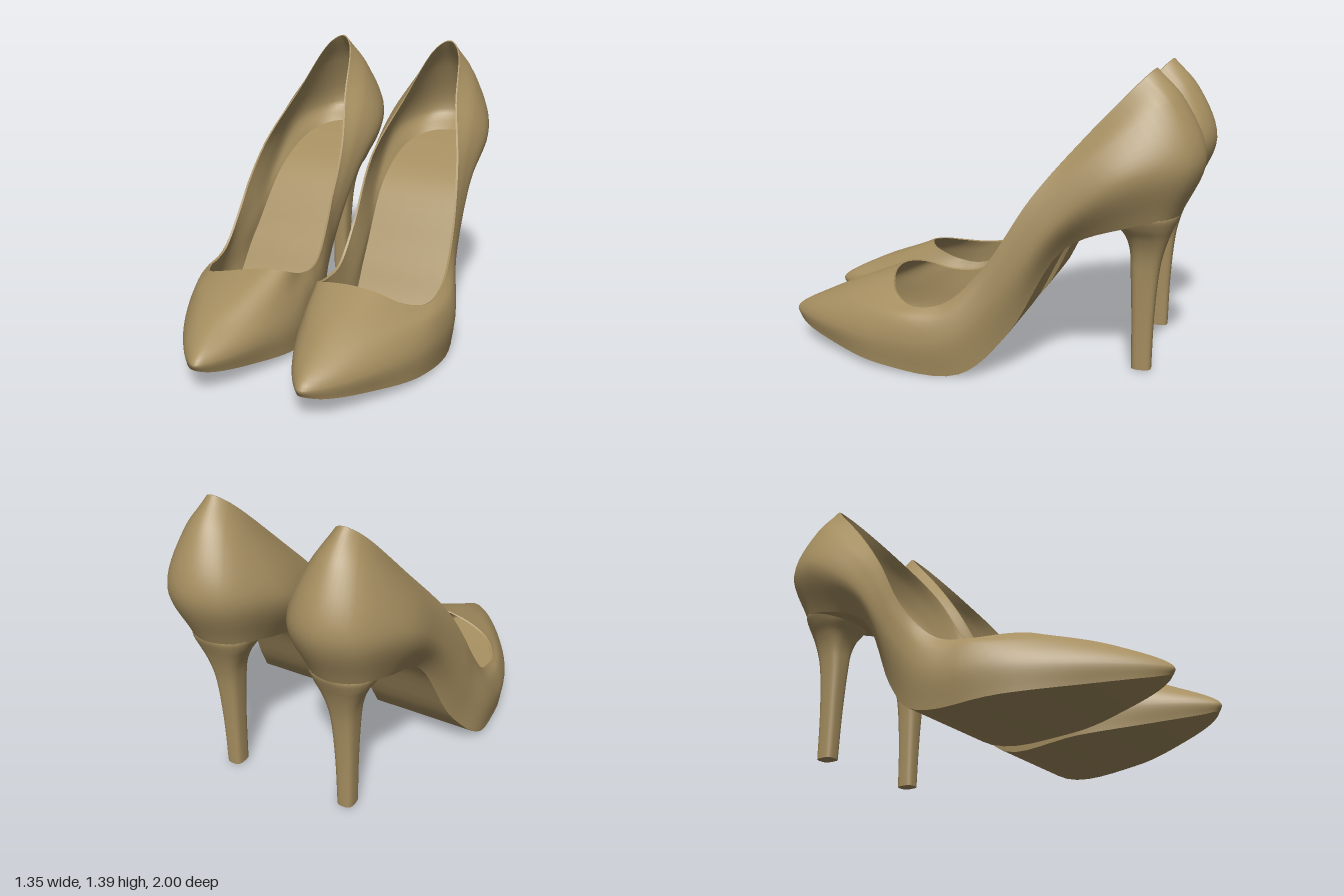
import * as THREE from 'three';

const leather = new THREE.MeshStandardMaterial({ color: 0xa58e60, side: THREE.DoubleSide });
leather.name = 'tan leather';

const COLS = 108; // samples around each closed loop

// Loops around the shoe: back point, stations [z, y, xInner, xOuter, yOuter], front point
const RIM_BACK = [[-0.775, 1.388, 0.29, 0.29],
  [-0.735, 1.35, 0.228, 0.352], [-0.5, 1.1, 0.14, 0.435], [-0.28, 0.835, 0.055, 0.53],
  [-0.08, 0.52, 0.045, 0.585], [0.1, 0.35, 0.05, 0.605, 0.34]];
const RIM_LEFT = [...RIM_BACK, [0.26, 0.33, 0.05, 0.59, 0.302],
  [0.38, 0.365, 0.08, 0.51, 0.335], [0.43, 0.395, 0.18, 0.41, 0.385], [0.445, 0.405, 0.3, 0.3]];
const RIM_RIGHT = [...RIM_BACK, [0.26, 0.345, 0.065, 0.61, 0.302],
  [0.4, 0.395, 0.1, 0.54, 0.325], [0.445, 0.412, 0.18, 0.43, 0.36], [0.45, 0.392, 0.3, 0.3]];
const UPPER = [[-0.9, 1.25, 0.285, 0.285],
  [-0.84, 1.24, 0.18, 0.395], [-0.6, 1.06, 0.065, 0.505], [-0.34, 0.79, 0.025, 0.55],
  [-0.11, 0.46, 0.042, 0.59], [0.1, 0.27, 0.035, 0.645], [0.34, 0.26, 0.035, 0.63],
  [0.58, 0.265, 0.115, 0.53], [0.75, 0.262, 0.24, 0.41], [0.78, 0.27, 0.315, 0.315]];
const BULGE = [[-1, 1, 0.28, 0.28],
  [-0.94, 0.99, 0.125, 0.435], [-0.7, 0.93, 0.012, 0.55], [-0.4, 0.71, 0.018, 0.555],
  [-0.15, 0.38, 0.048, 0.58], [0.08, 0.17, 0.035, 0.66], [0.4, 0.15, 0.025, 0.65],
  [0.72, 0.145, 0.135, 0.53], [0.95, 0.145, 0.265, 0.385], [1, 0.145, 0.32, 0.32]];
const SOLE = [[-0.9, 0.745, 0.28, 0.28],
  [-0.85, 0.74, 0.16, 0.4], [-0.7, 0.71, 0.105, 0.455], [-0.41, 0.59, 0.11, 0.46],
  [-0.17, 0.19, 0.09, 0.53], [0.03, 0.014, 0.05, 0.63], [0.42, 0.022, 0.035, 0.635],
  [0.72, 0.055, 0.15, 0.515], [0.93, 0.09, 0.265, 0.39], [0.985, 0.11, 0.32, 0.32]];
const FOOTBED = [[-0.86, 0.88, 0.28, 0.28],
  [-0.82, 0.87, 0.17, 0.39], [-0.68, 0.82, 0.09, 0.47], [-0.41, 0.67, 0.07, 0.5],
  [-0.17, 0.33, 0.075, 0.545], [0.02, 0.08, 0.08, 0.59], [0.4, 0.07, 0.07, 0.6],
  [0.66, 0.095, 0.165, 0.495], [0.85, 0.13, 0.265, 0.38], [0.89, 0.145, 0.32, 0.32]];

// Move a loop inward: narrow x, scale z, change y
const inset = (rows, nx, zScale, lift) => rows.map(([z, y, xi, xo, yo = y]) => {
  const d = (xo - xi) * nx;
  return [z * zScale, y + lift, xi + d, xo - d, yo + lift];
});

// Smooth closed loop: back, outer side, front, inner side
function loop(rows) {
  const mid = rows.slice(1, -1);
  const end = ([z, y, x]) => new THREE.Vector3(x, y, z);
  const pts = [end(rows[0]),
    ...mid.map(([z, y, , xo, yo = y]) => new THREE.Vector3(xo, yo, z)),
    end(rows[rows.length - 1]),
    ...mid.slice().reverse().map(end)];
  const curve = new THREE.CatmullRomCurve3(pts, true);
  return Array.from({ length: COLS }, (_, i) => curve.getPoint(i / COLS));
}

// Rows interpolated down through a stack of loops
function loft(loops, steps) {
  const grid = Array.from({ length: steps + 1 }, () => []);
  for (let i = 0; i < COLS; i++) {
    const curve = new THREE.CatmullRomCurve3(loops.map(l => l[i]));
    for (let j = 0; j <= steps; j++) grid[j].push(curve.getPoint(j / steps));
  }
  return grid;
}

// Fill a loop with strips across the shoe
function fill(l) {
  const grid = [];
  for (let i = 0; i <= COLS / 2; i++) {
    const a = l[i], b = l[(COLS - i) % COLS];
    grid.push(Array.from({ length: 7 }, (_, k) => a.clone().lerp(b, k / 6)));
  }
  return grid;
}

// Mesh from a grid of points
function surface(name, grid, closed, flip, place) {
  const n = grid[0].length, pos = [], idx = [];
  grid.forEach(row => row.forEach(p => pos.push(place.x(p), p.y, p.z)));
  const reverse = flip !== place.mirrored;
  for (let j = 0; j < grid.length - 1; j++) {
    for (let i = 0; i < (closed ? n : n - 1); i++) {
      const a = j * n + i, c = j * n + (i + 1) % n, b = a + n, d = c + n;
      if (reverse) idx.push(a, b, c, c, b, d);
      else idx.push(a, c, b, c, d, b);
    }
  }
  const g = new THREE.BufferGeometry();
  g.setAttribute('position', new THREE.Float32BufferAttribute(pos, 3));
  g.setIndex(idx);
  g.computeVertexNormals();
  const mesh = new THREE.Mesh(g, leather);
  mesh.name = name;
  return mesh;
}

// Slim heel flowing out of the seat: [y, z, half depth, half width]
const HEEL = [[0.755, -0.747, 0.15, 0.16], [0.735, -0.747, 0.149, 0.16], [0.69, -0.748, 0.13, 0.138],
  [0.64, -0.757, 0.1, 0.105], [0.57, -0.757, 0.077, 0.076], [0.48, -0.75, 0.065, 0.06],
  [0.25, -0.746, 0.051, 0.046], [0.003, -0.746, 0.046, 0.04]];

function heelGrid() {
  const size = new THREE.CatmullRomCurve3(HEEL.map(([y, , d, w]) => new THREE.Vector3(w, y, d)));
  const centre = new THREE.CatmullRomCurve3(HEEL.map(([y, z]) => new THREE.Vector3(0, y, z)));
  const grid = [];
  for (let j = 0; j <= 28; j++) {
    const r = size.getPoint(j / 28), c = centre.getPoint(j / 28);
    // Round at the seat, squarer towards the tip
    const power = 1 - 0.35 * Math.min(1, j / 16);
    const soft = v => Math.sign(v) * Math.pow(Math.abs(v), power);
    grid.push(Array.from({ length: 28 }, (_, i) => {
      const t = i / 28 * Math.PI * 2;
      return new THREE.Vector3(0.28 + r.x * soft(Math.sin(t)), r.y, c.z - r.z * soft(Math.cos(t)));
    }));
  }
  return grid;
}

function makeShoe(name, rimRows, place) {
  const shoe = new THREE.Group();
  shoe.name = name;
  const rim = loop(rimRows), sole = loop(SOLE), footbed = loop(FOOTBED);
  const rimInside = loop(inset(rimRows, 0.02, 0.988, -0.004));
  const lining = [rimInside, loop(inset(UPPER, 0.05, 0.97, -0.015)),
    loop(inset(BULGE, 0.06, 0.95, -0.015)), footbed];

  shoe.add(surface('upper', loft([rim, loop(UPPER), loop(BULGE), sole], 21), true, false, place));
  shoe.add(surface('rim', [rimInside, rim], true, false, place));
  shoe.add(surface('lining', loft(lining, 15), true, true, place));
  shoe.add(surface('footbed', fill(footbed), false, false, place));
  shoe.add(surface('sole', fill(sole), false, true, place));

  // Heel and its tip
  const heel = heelGrid(), base = heel[heel.length - 1];
  shoe.add(surface('heel', heel, true, false, place));
  const tip = base.map(() => new THREE.Vector3(0.28, 0.003, -0.746));
  shoe.add(surface('heelTip', [base, tip], true, false, place));
  return shoe;
}

export function createModel() {
  const model = new THREE.Group();
  model.name = 'pairOfPumps';
  // The right shoe is mirrored and turned slightly inward at the toe
  const turn = z => 0.06 * Math.min(1, Math.max(0, (0.2 - z) / 0.35))
    - 0.12 * Math.max(0, (z - 0.25) / 0.75);
  model.add(makeShoe('leftShoe', RIM_LEFT, { mirrored: false, x: p => p.x }));
  model.add(makeShoe('rightShoe', RIM_RIGHT, { mirrored: true, x: p => -(p.x + turn(p.z)) }));
  return model;
}
